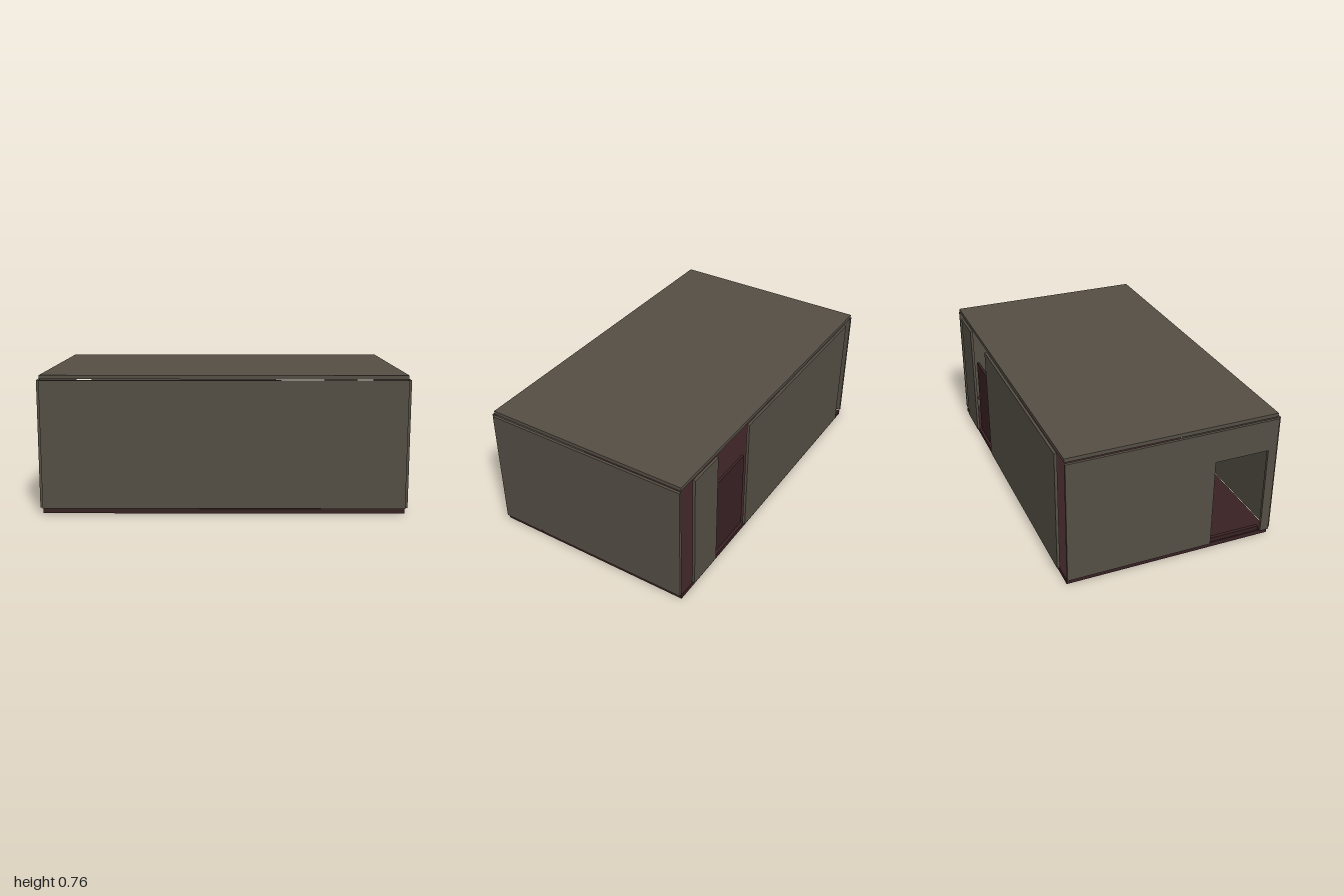
import * as THREE from 'three';

export function createModel() {
  const model = new THREE.Group();
  model.name = 'cabin';
  const wallMat = new THREE.MeshStandardMaterial({ color: 0x544e44 });
  wallMat.name = 'olive grey';
  const floorMat = new THREE.MeshStandardMaterial({ color: 0x382123 });
  floorMat.name = 'dark maroon';

  // Box given by its extents along each axis
  function slab(name, mat, [x0, x1], [y0, y1], [z0, z1]) {
    const mesh = new THREE.Mesh(new THREE.BoxGeometry(x1 - x0, y1 - y0, z1 - z0), mat);
    mesh.position.set((x0 + x1) / 2, (y0 + y1) / 2, (z0 + z1) / 2);
    mesh.name = name;
    model.add(mesh);
    return mesh;
  }

  const X = 0.985, Z = 0.59, T = 0.015;
  const wallY = [0.031, 0.731];

  // Floor and roof, each separated from the walls by a thin seam
  slab('floor', floorMat, [-X, X], [0, 0.026], [-Z, Z]);
  slab('roof', wallMat, [-X, X], [0.736, 0.757], [-Z, Z]);

  // Solid front and left walls
  slab('frontWall', wallMat, [-X, X], wallY, [Z, Z + T]);
  slab('leftWall', wallMat, [X, X + T], wallY, [-Z, Z]);

  // Right wall with a doorway near the front
  const outline = new THREE.Shape();
  [[-Z, 0.031], [0.23, 0.031], [0.23, 0.55], [0.54, 0.55], [0.54, 0.031],
    [Z, 0.031], [Z, 0.731], [-Z, 0.731]].forEach(([z, y], i) =>
    i ? outline.lineTo(-z, y) : outline.moveTo(-z, y));
  const rightWall = new THREE.Mesh(
    new THREE.ExtrudeGeometry(outline, { depth: T, bevelEnabled: false }), wallMat);
  rightWall.rotation.y = Math.PI / 2;
  rightWall.position.x = -X - T;
  rightWall.name = 'rightWall';
  model.add(rightWall);

  // Back wall panels, leaving corner slits and the entrance open
  slab('backWallLong', wallMat, [-0.885, 0.34], wallY, [-Z - T, -Z]);
  slab('backWallShort', wallMat, [0.66, 0.88], wallY, [-Z - T, -Z]);

  // Door standing just inside the back entrance
  slab('door', floorMat, [0.33, 0.67], [0.031, 0.51], [-0.575, -0.56]);
  const handle = new THREE.Mesh(new THREE.SphereGeometry(0.012, 12, 8), floorMat);
  handle.position.set(0.645, 0.27, -0.582);
  handle.name = 'doorHandle';
  model.add(handle);

  // Low sill inside the side doorway
  slab('doorSill', floorMat, [-X, -0.965], [0.031, 0.055], [0.235, 0.535]);

  // Small rounded stud at the foot of the left wall
  const stud = new THREE.Mesh(
    new THREE.SphereGeometry(0.02, 16, 8, 0, Math.PI * 2, 0, Math.PI / 2), floorMat);
  stud.scale.y = 1.25;
  stud.position.set(0.983, 0.031, 0.33);
  stud.name = 'wallStud';
  model.add(stud);

  return model;
}
